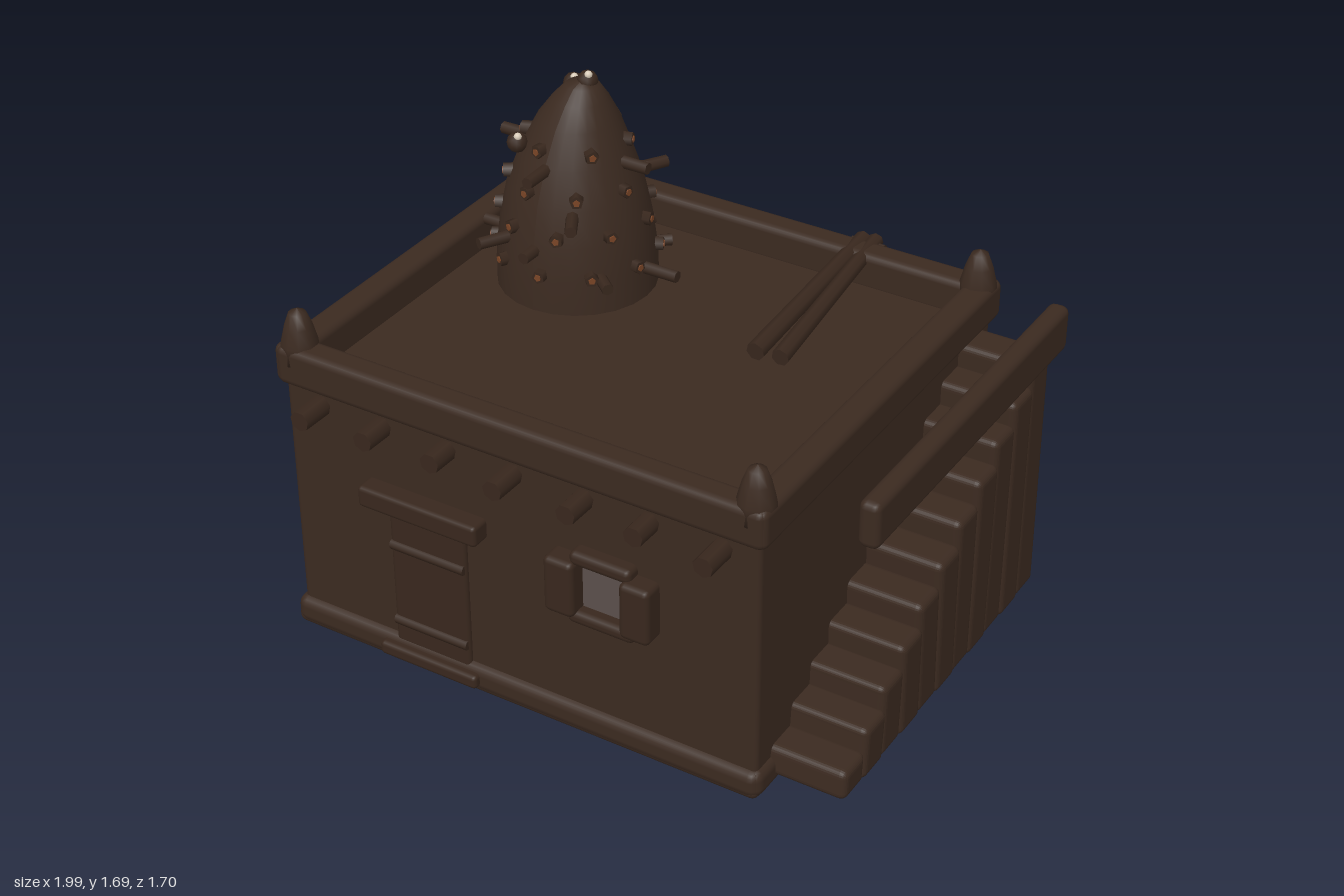
import * as THREE from 'three';
import { RoundedBoxGeometry } from 'three/addons/geometries/RoundedBoxGeometry.js';

const material = (color) => new THREE.MeshStandardMaterial({ color, roughness: 0.9 });
const mud = material(0x3b2a20);
const wood = material(0x38271d);
const copper = material(0x7a4526);
const pale = material(0xd8cbb8);
const glass = material(0x5a4f4b);

function add(parent, name, geometry, mat, x = 0, y = 0, z = 0) {
  const mesh = new THREE.Mesh(geometry, mat);
  mesh.name = name;
  mesh.position.set(x, y, z);
  parent.add(mesh);
  return mesh;
}

// Rounded block given by its extents on each axis
function block(parent, name, [x0, x1], [y0, y1], [z0, z1], mat = mud, radius = 0.02) {
  const w = x1 - x0, h = y1 - y0, d = z1 - z0;
  const r = Math.min(radius, Math.min(w, h, d) * 0.45);
  return add(parent, name, new RoundedBoxGeometry(w, h, d, 2, r), mat, (x0 + x1) / 2, (y0 + y1) / 2, (z0 + z1) / 2);
}

// Round bar between two points
function bar(parent, name, from, to, r0, r1 = r0, mat = wood, sides = 7) {
  const a = new THREE.Vector3(...from), b = new THREE.Vector3(...to);
  const dir = b.clone().sub(a);
  const mesh = add(parent, name, new THREE.CylinderGeometry(r1, r0, dir.length(), sides), mat);
  mesh.position.copy(a).add(b).multiplyScalar(0.5);
  mesh.quaternion.setFromUnitVectors(new THREE.Vector3(0, 1, 0), dir.normalize());
  return mesh;
}

function group(parent, name) {
  const g = new THREE.Group();
  g.name = name;
  parent.add(g);
  return g;
}

const lathe = (points, segments) =>
  new THREE.LatheGeometry(points.map(([r, y]) => new THREE.Vector2(r, y)), segments);

function buildHouse(root) {
  const house = group(root, 'house');
  block(house, 'walls', [-0.965, 0.725], [0.01, 0.945], [-0.74, 0.735], mud, 0.02);
  // Bulging foot course
  block(house, 'baseBody', [-0.985, 0.735], [0, 0.06], [-0.76, 0.755], mud, 0.025);
  for (const z of [-0.725, 0.72]) block(house, 'baseCourse', [-0.985, 0.74], [0.005, 0.105], [z - 0.04, z + 0.04], mud, 0.035);
  for (const x of [-0.945, 0.705]) block(house, 'baseCourse', [x - 0.04, x + 0.04], [0.005, 0.105], [-0.76, 0.755], mud, 0.035);

  // Parapet around the sunken roof deck
  for (const z of [-0.72, 0.71]) block(house, 'parapet', [-0.98, 0.745], [0.925, 1.06], [z - 0.05, z + 0.05], mud, 0.025);
  for (const x of [-0.94, 0.7]) block(house, 'parapet', [x - 0.05, x + 0.05], [0.925, 1.06], [-0.765, 0.755], mud, 0.025);

  // Corner pinnacles
  const pinnacle = lathe([[0, 0], [0.062, 0], [0.06, 0.06], [0.045, 0.12], [0.028, 0.165], [0, 0.18]], 10);
  for (const x of [-0.925, 0.69]) {
    for (const z of [-0.705, 0.7]) add(house, 'cornerPinnacle', pinnacle, mud, x, 1, z);
  }

  // Roof beam ends
  [-0.83, -0.6, -0.36, -0.12, 0.13, 0.355, 0.6].forEach((x, i) => {
    const extra = (i % 3) * 0.01;
    bar(house, 'beamEndFront', [x, 0.88, 0.68], [x, 0.88, 0.845 - extra], 0.036, 0.034);
    bar(house, 'beamEndBack', [x, 0.88, -0.68], [x, 0.88, -0.85 + extra], 0.036, 0.034);
  });
}

function buildOpenings(root) {
  const door = group(root, 'door');
  block(door, 'doorPanel', [-0.585, -0.3], [0.08, 0.585], [0.7, 0.752], wood, 0.015);
  for (const y of [0.17, 0.46]) bar(door, 'doorBand', [-0.58, y, 0.748], [-0.305, y, 0.748], 0.018);
  block(door, 'doorTrim', [-0.62, -0.27], [0.565, 0.585], [0.7, 0.738], pale, 0.004);
  block(door, 'lintel', [-0.665, -0.225], [0.6, 0.675], [0.7, 0.8], wood, 0.015);
  block(door, 'threshold', [-0.63, -0.26], [0.03, 0.08], [0.7, 0.785], wood, 0.015);

  const window = group(root, 'frontWindow');
  block(window, 'windowPane', [0.11, 0.295], [0.48, 0.67], [0.7, 0.742], glass, 0.004);
  block(window, 'windowJamb', [0.02, 0.125], [0.475, 0.675], [0.7, 0.805], wood);
  block(window, 'windowJamb', [0.285, 0.39], [0.475, 0.675], [0.7, 0.805], wood);
  block(window, 'windowHead', [0.1, 0.315], [0.66, 0.71], [0.7, 0.785], wood);
  block(window, 'windowSill', [0.09, 0.325], [0.445, 0.492], [0.7, 0.785], wood);

  // Small lattice on the left-hand wall as seen from the front
  const lattice = group(root, 'sideLattice');
  [-0.22, -0.145, -0.07].forEach((z, i) => {
    bar(lattice, 'latticeBar', [-0.97, 0.47, z], [-0.97, 0.63 + (i === 1 ? 0.04 : 0), z], 0.022);
  });
  bar(lattice, 'latticeSill', [-0.97, 0.465, -0.255], [-0.97, 0.465, -0.04], 0.028);
}

function buildStairs(root) {
  const stairs = group(root, 'stairs');
  for (let i = 0; i < 11; i++) {
    const zc = 0.585 - 0.117 * i, top = 0.14 + 0.08 * i, h = top - 0.035;
    const geo = new RoundedBoxGeometry(0.3, h, 0.136, 3, Math.min(0.025, h * 0.3));
    // Hand-formed waist and slight flare
    const p = geo.attributes.position;
    for (let k = 0; k < p.count; k++) {
      const t = p.getY(k) / h + 0.5;
      p.setZ(k, p.getZ(k) * (1 - 0.12 * Math.sin(Math.PI * t)) + 0.006 * Math.sin(t * 4 + i));
    }
    geo.computeVertexNormals();
    add(stairs, 'step', geo, mud, 0.83 + 0.004 * (i % 2), 0.035 + h / 2, zc);
  }
  block(stairs, 'handRail', [0.925, 0.995], [0.89, 1.05], [-0.745, 0.545], mud, 0.025);
}

function buildTower(root) {
  const tower = group(root, 'tower');
  tower.position.set(-0.53, 0, -0.25);
  const profile = [[0.265, 0.93], [0.262, 1.06], [0.247, 1.18], [0.222, 1.3], [0.18, 1.42],
    [0.132, 1.53], [0.09, 1.6], [0.055, 1.645], [0, 1.665]];
  const body = lathe(profile, 24);
  // Tip leans a little to the side
  const lean = (y) => 0.035 * Math.max(0, (y - 1.3) / 0.36) ** 2;
  const p = body.attributes.position;
  for (let i = 0; i < p.count; i++) p.setX(i, p.getX(i) + lean(p.getY(i)));
  body.computeVertexNormals();
  add(tower, 'towerBody', body, mud);

  const radiusAt = (y) => {
    const i = Math.max(1, profile.findIndex((q) => q[1] >= y));
    const [r0, y0] = profile[i - 1], [r1, y1] = profile[i];
    return r0 + (r1 - r0) * (y - y0) / (y1 - y0);
  };
  const at = (a, y, r) => [Math.cos(a) * r + lean(y), y, Math.sin(a) * r];

  // Rings of short copper-tipped studs
  [[1.08, 10], [1.21, 9], [1.335, 8], [1.465, 6]].forEach(([y, count], ring) => {
    for (let i = 0; i < count; i++) {
      const a = (i + (ring % 2) / 2) / count * Math.PI * 2 + 0.2, r = radiusAt(y);
      bar(tower, 'stud', at(a, y, r - 0.03), at(a, y, r + 0.022), 0.025, 0.023, wood, 5);
      bar(tower, 'studTip', at(a, y, r + 0.015), at(a, y, r + 0.026), 0.013, 0.012, copper, 5);
    }
  });

  // Long projecting pegs: angle in degrees, height, reach
  [[0, 1.41, 0.27], [180, 1.41, 0.28], [90, 1.41, 0.28], [0, 1.05, 0.38], [180, 1.05, 0.36],
    [-90, 1.16, 0.36], [90, 1.155, 0.31], [-60, 1.28, 0.33], [-120, 1.28, 0.31], [60, 1.28, 0.32],
    [120, 1.155, 0.35], [-40, 1.05, 0.31], [210, 1.155, 0.32], [40, 1.07, 0.33],
  ].forEach(([deg, y, reach]) => {
    const a = deg * Math.PI / 180;
    bar(tower, 'peg', at(a, y, 0.1), at(a, y, reach), 0.022, 0.02);
  });

  // Knobs crowned with small pale eggs
  for (const [x, y, z] of [[0.045, 1.655, -0.01], [-0.075, 1.575, -0.11], [-0.13, 1.455, 0.135]]) {
    add(tower, 'knob', new THREE.IcosahedronGeometry(0.034, 1), wood, x, y, z);
    add(tower, 'egg', new THREE.SphereGeometry(0.013, 10, 8), pale, x + 0.01, y + 0.026, z + 0.01);
  }
}

function buildLadder(root) {
  // Pole ladder resting on the rear parapet
  const ladder = group(root, 'ladder');
  bar(ladder, 'ladderPole', [0.235, 0.985, -0.08], [0.235, 1.045, -0.79], 0.032, 0.028);
  bar(ladder, 'ladderPole', [0.318, 0.985, -0.09], [0.275, 1.045, -0.8], 0.03, 0.026);
  bar(ladder, 'ladderRung', [0.2, 1.03, -0.77], [0.32, 1.03, -0.77], 0.022);
}

export function createModel() {
  const root = new THREE.Group();
  root.name = 'mudBrickHouse';
  buildHouse(root);
  buildOpenings(root);
  buildStairs(root);
  buildTower(root);
  buildLadder(root);
  return root;
}
